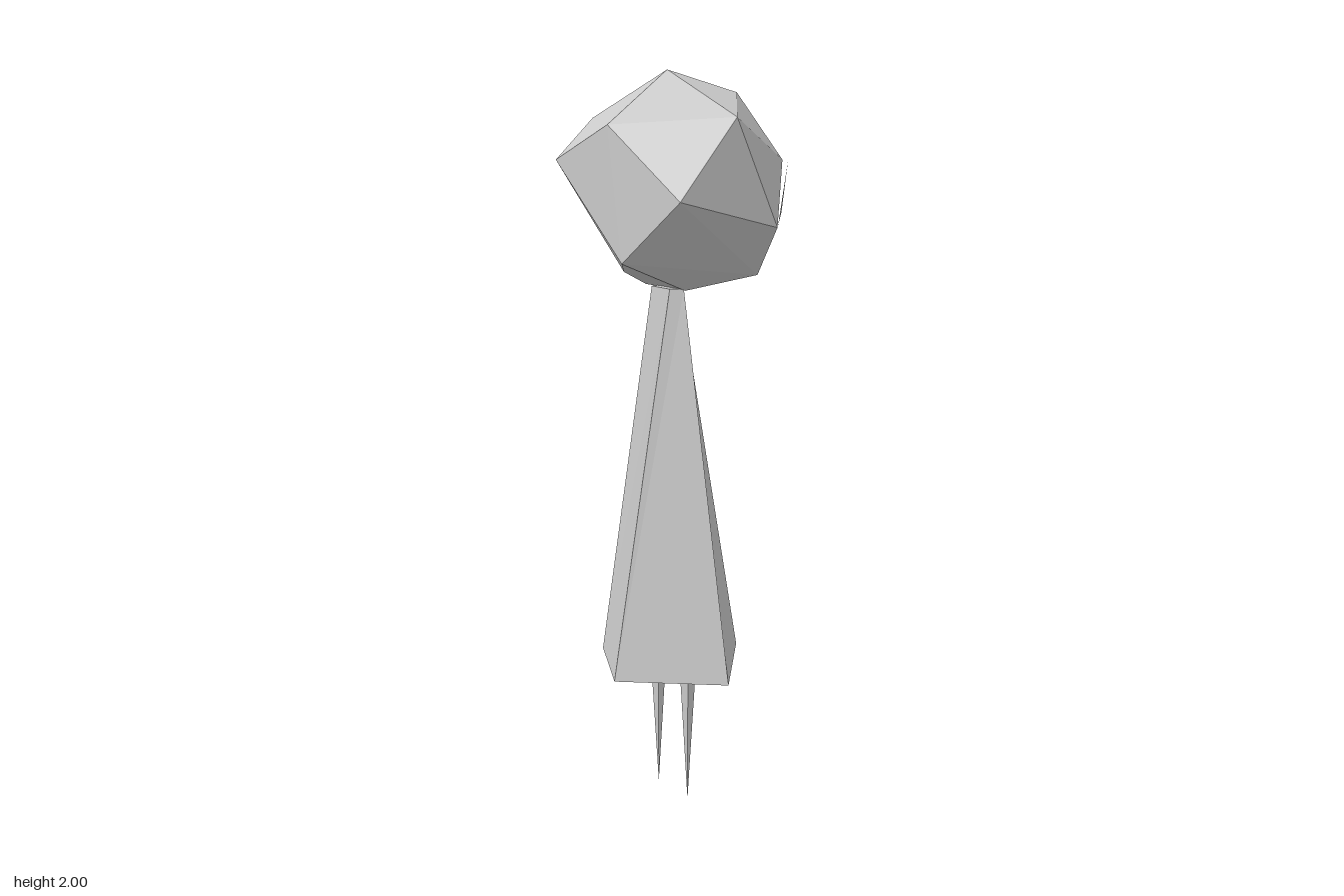
import * as THREE from 'three';
import { ConvexGeometry } from 'three/addons/geometries/ConvexGeometry.js';

const material = new THREE.MeshStandardMaterial({ color: 0xcccccc, flatShading: true });
const sheetMaterial = new THREE.MeshStandardMaterial({ color: 0xcccccc, flatShading: true, side: THREE.DoubleSide });
const vec = ([x, y, z]) => new THREE.Vector3(x, y, z);

function addMesh(parent, name, geometry, mat = material) {
  const mesh = new THREE.Mesh(geometry, mat);
  mesh.name = name;
  parent.add(mesh);
  return mesh;
}

// Closed solid joining two rings of [x, z] corners at heights y0 and y1
function loft(bottom, top, y0, y1) {
  const n = bottom.length;
  const pos = [];
  const a = (i) => [bottom[i % n][0], y0, bottom[i % n][1]];
  const b = (i) => [top[i % n][0], y1, top[i % n][1]];
  for (let i = 0; i < n; i++) {
    pos.push(...a(i), ...a(i + 1), ...b(i + 1), ...a(i), ...b(i + 1), ...b(i));
    if (i > 0 && i < n - 1) {
      pos.push(...a(0), ...a(i + 1), ...a(i)); // underside
      pos.push(...b(0), ...b(i), ...b(i + 1)); // top
    }
  }
  const g = new THREE.BufferGeometry();
  g.setAttribute('position', new THREE.Float32BufferAttribute(pos, 3));
  g.computeVertexNormals();
  return g;
}

export function createModel() {
  const model = new THREE.Group();
  model.name = 'figure';

  // Five-sided tapering body, corners run front, right, back, back, left
  const base = [[-0.005, 0.235], [0.2, 0.015], [0.09, -0.185], [-0.125, -0.187], [-0.235, 0.03]];
  const neck = [[-0.025, 0.061], [0.03, -0.033], [0.028, -0.036], [-0.058, -0.035], [-0.055, 0.04]];
  addMesh(model, 'body', loft(base, neck, 0.4, 1.45));

  // Faceted head
  const head = [
    [-0.025, 2.0, -0.01], // crown
    [-0.097, 1.875, -0.244], [-0.29, 1.78, -0.125], [-0.258, 1.872, 0.06],
    [-0.183, 1.695, 0.255], [-0.004, 1.89, 0.247], [0.125, 1.615, 0.253],
    [0.17, 1.942, 0.03], [0.138, 1.88, -0.203], [0.108, 1.605, -0.256],
    [0.267, 1.77, 0.103], [0.267, 1.77, -0.083], // cheek
    [0.267, 1.632, 0.088], [0.267, 1.632, -0.082],
    [-0.24, 1.535, 0.09], [0.135, 1.485, 0.165], [0.08, 1.525, -0.22], // jaw
    [-0.15, 1.495, -0.03], [-0.03, 1.445, -0.1], [-0.02, 1.445, 0.06], [0.03, 1.445, 0],
  ];
  addMesh(model, 'head', new ConvexGeometry(head.map(vec)));

  // Thin fins along both edges of the cheek
  const fins = {
    frontFin: [[0.287, 1.77, 0.103], [0.285, 1.63, 0.082], [0.125, 1.617, 0.254]],
    backFin: [[0.287, 1.77, -0.08], [0.285, 1.63, -0.08], [0.108, 1.607, -0.257]],
  };
  for (const [name, corners] of Object.entries(fins)) {
    const g = new THREE.BufferGeometry().setFromPoints(corners.map(vec));
    g.computeVertexNormals();
    addMesh(model, name, g, sheetMaterial);
  }

  // Spike legs pointing down
  for (const [name, z] of [['frontLeg', 0.07], ['backLeg', -0.067]]) {
    const leg = addMesh(model, name, new THREE.ConeGeometry(0.024, 0.41, 5));
    leg.rotation.x = Math.PI;
    leg.position.set(-0.017, 0.205, z);
  }
  return model;
}
